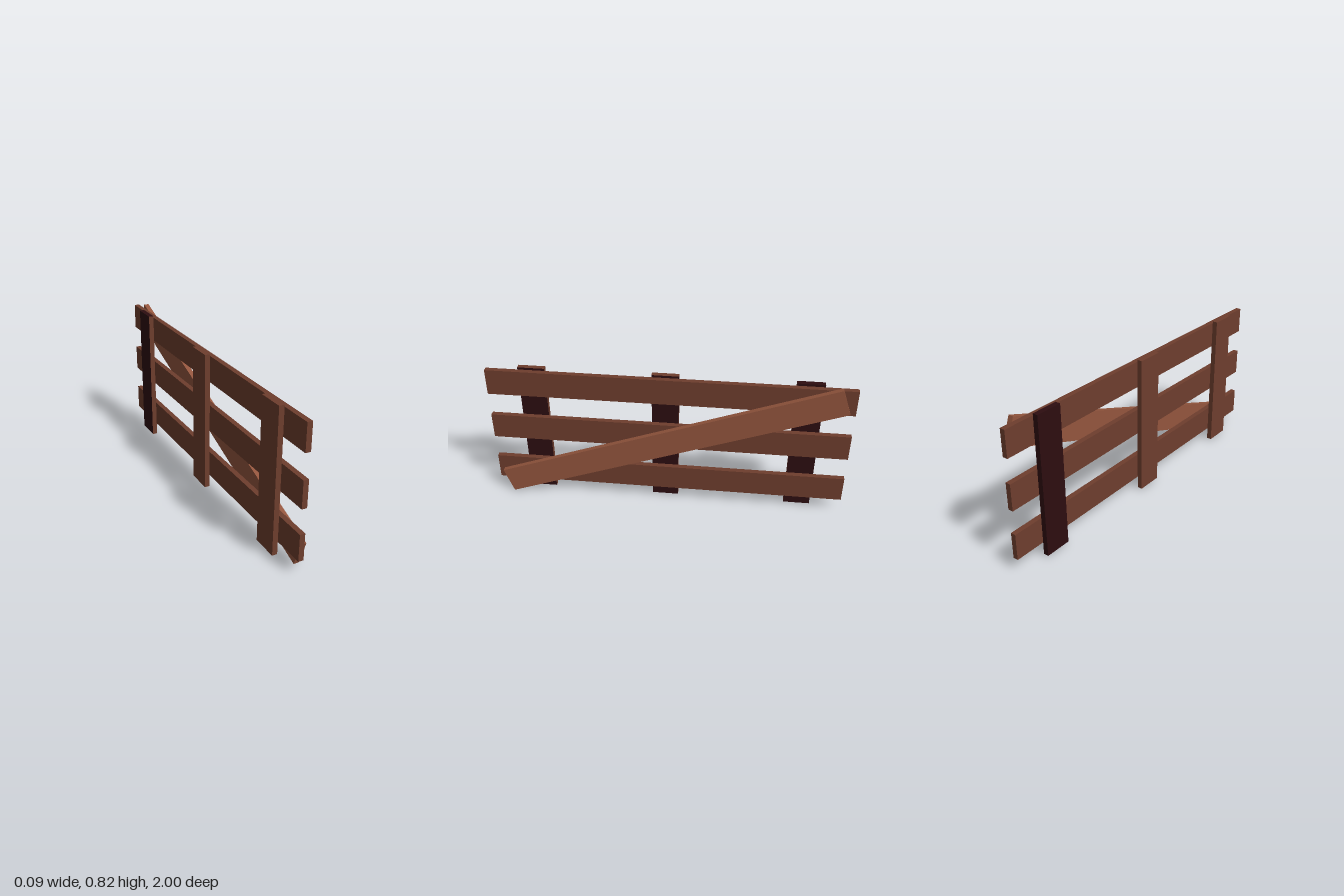
import * as THREE from 'three';

const mat = (name, color) => {
  const m = new THREE.MeshStandardMaterial({ color });
  m.name = name;
  return m;
};

export function createModel() {
  const wood = mat('brownWood', 0x6f3e2e);
  const light = mat('lightWood', 0x94563e);
  const dark = mat('darkWood', 0x2d0d10);
  const group = new THREE.Group();
  group.name = 'fence';

  const plank = (name, height, length, material, x, y, z) => {
    const mesh = new THREE.Mesh(new THREE.BoxGeometry(0.029, height, length), material);
    mesh.name = name;
    mesh.position.set(x, y, z);
    group.add(mesh);
    return mesh;
  };

  // Three horizontal rails
  ['lowerRail', 'middleRail', 'upperRail'].forEach((name, i) =>
    plank(name, 0.149, 2, wood, -0.0015, 0.1525 + i * 0.2853, 0));

  // Upright posts, dark on the side against the rails; the rear post is mostly dark
  // Material order: +x, -x, +y, -y, +z, -z
  const stained = [dark, wood, wood, wood, wood, wood];
  const mostlyDark = [dark, dark, dark, dark, wood, dark];
  plank('frontPost', 0.8, 0.149, stained, -0.033, 0.409, 0.749);
  plank('middlePost', 0.8, 0.149, stained, -0.033, 0.409, 0.015);
  plank('rearPost', 0.8, 0.149, mostlyDark, -0.033, 0.409, -0.754);

  // Diagonal brace, rising toward the rear
  const brace = plank('diagonalBrace', 0.152, 2, light, 0.0315, 0.409, 0.001);
  brace.rotation.x = THREE.MathUtils.degToRad(19.7);

  return group;
}
